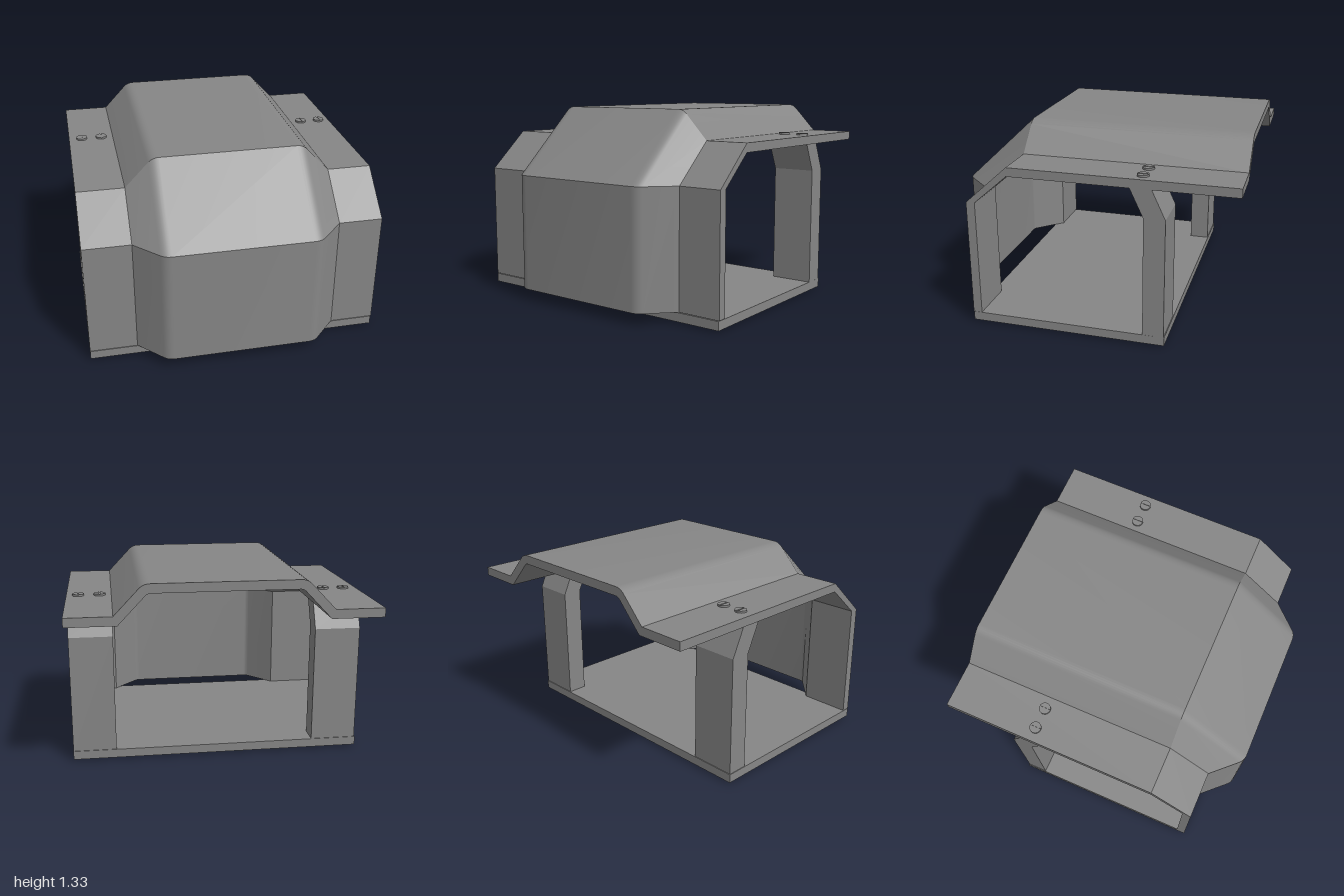
import * as THREE from 'three';
import { toCreasedNormals } from 'three/addons/utils/BufferGeometryUtils.js';

const material = new THREE.MeshStandardMaterial({ color: 0x868686 });
const LEFT = 0.70, RIGHT = -0.68; // where the flanges meet the raised centre

function add(group, name, geometry, x = 0, y = 0, z = 0) {
  const mesh = new THREE.Mesh(geometry, material);
  mesh.name = name;
  mesh.position.set(x, y, z);
  group.add(mesh);
}

// Half of a section line: flange, sloping rise, then a rounded shoulder
function shoulder(edge, foot, side, low, high, round) {
  const top = foot - side * (high - low - 0.01);
  const points = [[edge, low], [foot, low]];
  const curve = new THREE.QuadraticBezierCurve(
    new THREE.Vector2(top + side * round * 0.69, high - round * 0.727),
    new THREE.Vector2(top, high),
    new THREE.Vector2(top - side * round, high));
  for (const p of curve.getPoints(5)) points.push([p.x, p.y]);
  return points;
}

function sectionLine(low, high, inset, round) {
  return [
    ...shoulder(-1, RIGHT + inset, -1, low, high, round),
    ...shoulder(1, LEFT - inset, 1, low, high, round).reverse(),
  ];
}

// Bent sheet: the section is carried up the front, over the slope and back
function coverGeometry() {
  const outer = sectionLine(0, 0.195, 0, 0.042);
  const inner = sectionLine(-0.06, 0.135, 0.025, 0.02);
  const loop = [...outer, ...inner.slice().reverse()];
  const stations = [ // y, z and the direction in which the section is raised
    { y: 0.076, z: 0.79, dy: 0, dz: 1 },
    { y: 0.87, z: 0.79, dy: 0, dz: 1 },
    { y: 1.13, z: 0.5, dy: 1, dz: 0 },
    { y: 1.13, z: -0.985, dy: 1, dz: 0 },
  ];
  const place = (s, [x, d]) => [x, s.y + d * s.dy, s.z + d * s.dz];
  const positions = [];
  const quad = (a, b, c, d) => positions.push(...a, ...b, ...c, ...a, ...c, ...d);

  for (let s = 0; s < stations.length - 1; s++) {
    const near = stations[s], far = stations[s + 1];
    loop.forEach((p, i) => {
      const q = loop[(i + 1) % loop.length];
      quad(place(near, p), place(near, q), place(far, q), place(far, p));
    });
  }
  // End faces
  const first = stations[0], last = stations[3];
  for (let i = 0; i < outer.length - 1; i++) {
    quad(place(last, outer[i]), place(last, outer[i + 1]), place(last, inner[i + 1]), place(last, inner[i]));
    quad(place(first, inner[i]), place(first, inner[i + 1]), place(first, outer[i + 1]), place(first, outer[i]));
  }
  const geometry = new THREE.BufferGeometry();
  geometry.setAttribute('position', new THREE.Float32BufferAttribute(positions, 3));
  return toCreasedNormals(geometry, 0.45);
}

// Rear post with its top cranked forward, spanning x0 to x1
function postGeometry(x0, x1) {
  const profile = [[-0.53, 0.07], [-0.39, 0.07], [-0.39, 0.88], [-0.30, 1.072], [-0.44, 1.072], [-0.53, 0.88]];
  const shape = new THREE.Shape(profile.map(([z, y]) => new THREE.Vector2(-z, y)));
  const geometry = new THREE.ExtrudeGeometry(shape, { depth: x1 - x0, bevelEnabled: false });
  return geometry.rotateY(Math.PI / 2).translate(x0, 0, 0);
}

// Screw head: a disc with two half heads on it that leave a shallow slot
function screw(name) {
  const group = new THREE.Group();
  group.name = name;
  const radius = 0.039, gap = Math.asin(0.004 / radius);
  add(group, 'screwDisc', new THREE.CylinderGeometry(radius, radius, 0.009, 32), 0, 0.0045, 0);
  const half = new THREE.Shape();
  half.absarc(0, 0, radius, -Math.PI / 2 + gap, Math.PI / 2 - gap, false);
  half.closePath();
  for (const turn of [0, Math.PI]) {
    const geometry = new THREE.ExtrudeGeometry(half, { depth: 0.004, bevelEnabled: false, curveSegments: 16 });
    add(group, 'screwHeadHalf', geometry.rotateX(-Math.PI / 2).rotateY(turn), 0, 0.009, 0);
  }
  return group;
}

export function createModel() {
  const model = new THREE.Group();
  model.name = 'coveredFrame';

  add(model, 'cover', coverGeometry());
  add(model, 'basePlate', new THREE.BoxGeometry(1.995, 0.06, 1.325), -0.002, 0.042, 0.1275);
  add(model, 'leftPost', postGeometry(LEFT, 0.995));
  add(model, 'rightPost', postGeometry(-0.995, RIGHT));

  // Screws above the flanges and below the base
  for (const x of [-0.907, -0.765, 0.778, 0.92]) {
    const top = screw('topScrew');
    top.position.set(x, 1.13, -0.37);
    const bottom = screw('bottomScrew');
    bottom.position.set(x, 0.013, -0.37);
    bottom.rotation.z = Math.PI;
    model.add(top, bottom);
  }
  return model;
}
